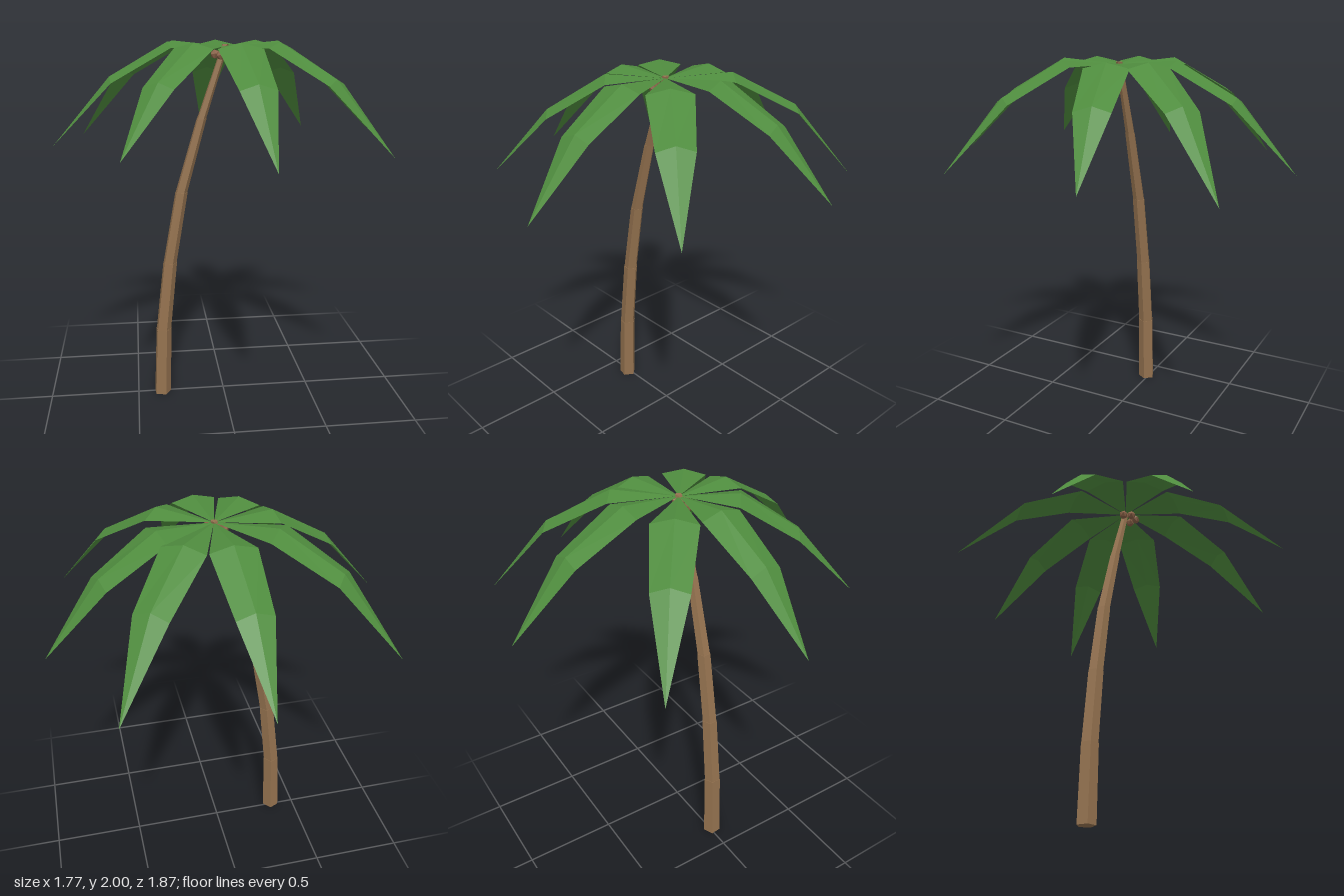
import * as THREE from 'three';

const leafGreen = new THREE.MeshStandardMaterial({ color: 0x4f8c3e, flatShading: true, side: THREE.DoubleSide });
leafGreen.name = 'leaf green';
const barkBrown = new THREE.MeshStandardMaterial({ color: 0x94724f, flatShading: true });
barkBrown.name = 'bark brown';
const nutBrown = new THREE.MeshStandardMaterial({ color: 0x8a6248, flatShading: true });
nutBrown.name = 'nut brown';

const CROWN = new THREE.Vector3(0.01, 1.975, 0.015);

// Flat-shaded geometry from a list of points and triangles
function facets(points, faces) {
  const g = new THREE.BufferGeometry();
  g.setFromPoints(faces.flat().map((i) => points[i]));
  g.computeVertexNormals();
  return g;
}

// A ridged, drooping blade from the crown to its tip
function makeFrond(tipX, tipY, tipZ) {
  const dx = tipX - CROWN.x, dz = tipZ - CROWN.z;
  const len = Math.hypot(dx, dz);
  const at = (t, side, y) => new THREE.Vector3(
    CROWN.x + dx * t + (dz / len) * side, y, CROWN.z + dz * t - (dx / len) * side);
  const points = [CROWN];
  for (const [t, halfWidth, y] of [[0.337, 0.115, 2.0], [0.67, 0.09, 1.83]]) {
    points.push(at(t, halfWidth, y - 0.028), at(t, 0, y), at(t, -halfWidth, y - 0.028));
  }
  points.push(new THREE.Vector3(tipX, tipY, tipZ));
  const faces = [
    [0, 2, 1], [0, 3, 2],
    [1, 2, 5], [1, 5, 4], [2, 3, 6], [2, 6, 5],
    [4, 5, 7], [5, 6, 7],
  ];
  return new THREE.Mesh(facets(points, faces), leafGreen);
}

// One five-sided trunk piece between two centres
function makeTrunkPiece(a, b) {
  const ring = ([x, y, r], grow) => Array.from({ length: 5 }, (_, i) => {
    const ang = THREE.MathUtils.degToRad(67 + i * 72);
    return new THREE.Vector3(x + Math.cos(ang) * (r + grow), y, 0.013 + Math.sin(ang) * (r + grow));
  });
  const points = [...ring(a, 0), ...ring(b, 0.002)];
  const faces = [];
  for (let i = 0; i < 5; i++) {
    const j = (i + 1) % 5;
    faces.push([i, i + 5, j], [j, i + 5, j + 5]);
  }
  for (let i = 1; i < 4; i++) faces.push([0, i, i + 1], [5, 6 + i, 5 + i]);
  return new THREE.Mesh(facets(points, faces), barkBrown);
}

export function createModel() {
  const model = new THREE.Group();
  model.name = 'palmTree';

  // Leaning trunk: centre x, height, radius at each joint
  const trunk = new THREE.Group();
  trunk.name = 'trunk';
  const joints = [
    [-0.361, 0, 0.049], [-0.346, 0.4, 0.044], [-0.302, 0.8, 0.039],
    [-0.232, 1.2, 0.034], [-0.118, 1.6, 0.026], [0.01, 1.985, 0.016],
  ];
  for (let i = 0; i < joints.length - 1; i++) {
    const piece = makeTrunkPiece(joints[i], joints[i + 1]);
    piece.name = 'trunkPiece' + (i + 1);
    trunk.add(piece);
  }
  model.add(trunk);

  // Crown of eight fronds, by tip position
  const crown = new THREE.Group();
  crown.name = 'crown';
  const tips = [
    [-0.04, 1.47, -0.935], [0.61, 1.44, -0.78], [0.885, 1.49, -0.245], [0.75, 1.475, 0.59],
    [0.122, 1.485, 0.93], [-0.54, 1.505, 0.71], [-0.89, 1.485, 0.115], [-0.785, 1.44, -0.57],
  ];
  tips.forEach((tip, i) => {
    const frond = makeFrond(...tip);
    frond.name = 'frond' + (i + 1);
    crown.add(frond);
  });
  model.add(crown);

  // Small nuts clustered below the crown
  const nuts = new THREE.Group();
  nuts.name = 'nuts';
  const spots = [[0.045, 1.935, 0.025], [0.03, 1.932, 0.07], [-0.02, 1.932, 0.07], [-0.045, 1.935, 0.03]];
  spots.forEach((p, i) => {
    const nut = new THREE.Mesh(new THREE.IcosahedronGeometry(0.026, 0), nutBrown);
    nut.position.set(...p);
    nut.rotation.set(i, i * 0.7, 0);
    nut.name = 'nut' + (i + 1);
    nuts.add(nut);
  });
  model.add(nuts);

  return model;
}
